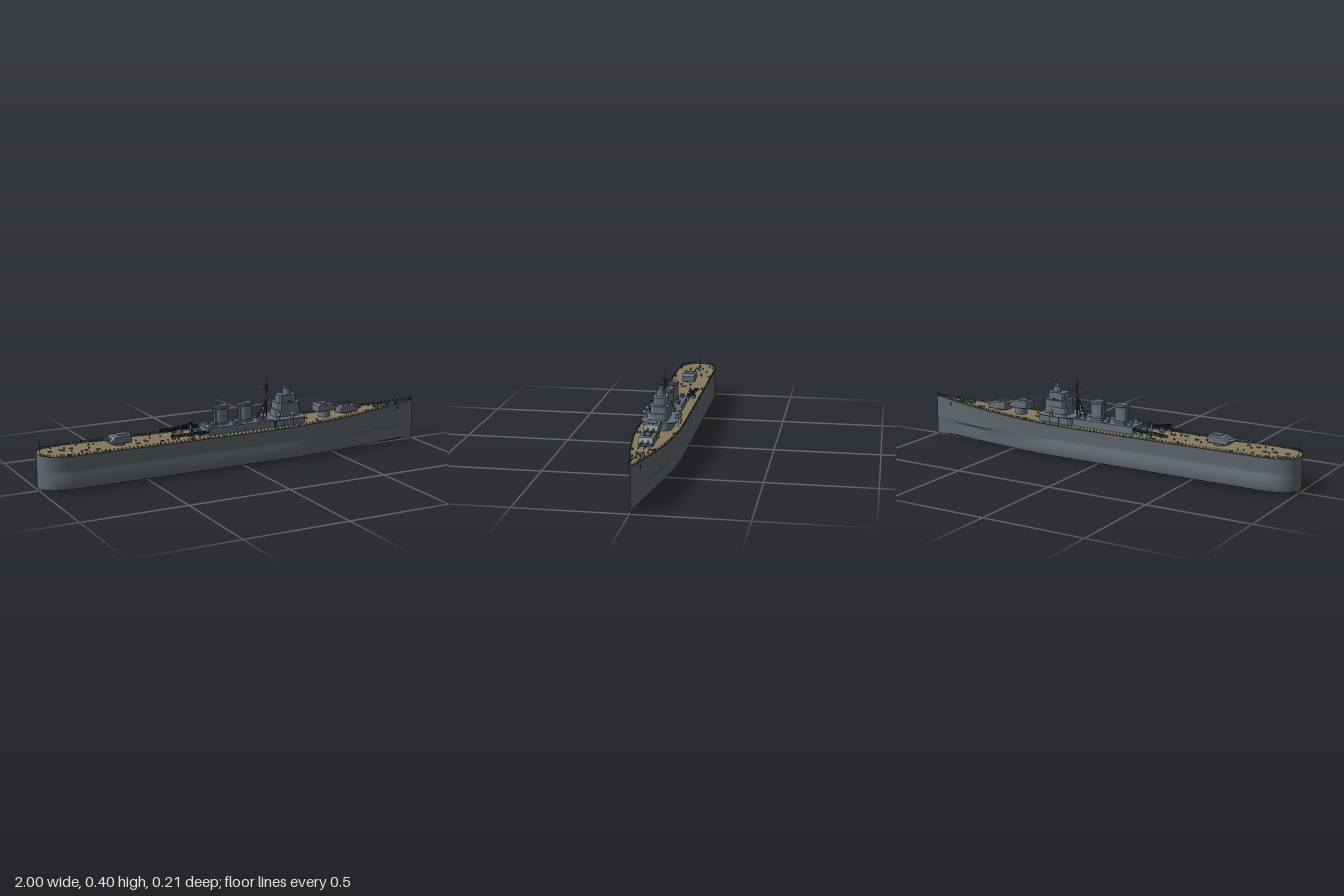
import * as THREE from 'three';
import { mergeGeometries, toCreasedNormals } from 'three/addons/utils/BufferGeometryUtils.js';

const mat = (name, color, extra = {}) => Object.assign(new THREE.MeshStandardMaterial({ color, ...extra }), { name });

export function createModel() {
  const M = {
    hull: mat('hull grey', 0x626a70),
    deck: mat('wood deck', 0x85785f),
    steel: mat('superstructure grey', 0x68727a),
    plate: mat('steel deck blue grey', 0x626c79),
    dark: mat('dark fittings', 0x2c3034),
  };
  const root = new THREE.Group();
  root.name = 'warship';
  const ship = new THREE.Group();
  ship.name = 'ship';
  ship.position.z = -0.004;
  root.add(ship);

  // ---------- helpers ----------
  const add = (name, geo, m, x = 0, y = 0, z = 0, parent = ship) => {
    const o = new THREE.Mesh(geo, m);
    o.name = name;
    o.position.set(x, y, z);
    parent.add(o);
    return o;
  };
  const box = (name, m, x0, x1, y0, y1, halfZ, z = 0, parent = ship) =>
    add(name, new THREE.BoxGeometry(x1 - x0, y1 - y0, halfZ * 2), m, (x0 + x1) / 2, (y0 + y1) / 2, z, parent);
  const cyl = (name, m, x, y0, y1, z, r0, r1 = r0, parent = ship, n = 20) =>
    add(name, new THREE.CylinderGeometry(r1, r0, y1 - y0, n), m, x, (y0 + y1) / 2, z, parent);
  const rodGeo = (a, b, r, n = 5) => {
    const A = new THREE.Vector3(...a), d = new THREE.Vector3(...b).sub(A);
    const g = new THREE.CylinderGeometry(r, r, d.length(), n);
    g.applyQuaternion(new THREE.Quaternion().setFromUnitVectors(new THREE.Vector3(0, 1, 0), d.clone().normalize()));
    return g.translate(A.x + d.x / 2, A.y + d.y / 2, A.z + d.z / 2);
  };
  const rods = (name, m, list, r, parent = ship) =>
    add(name, mergeGeometries(list.map(([a, b]) => rodGeo(a, b, r))), m, 0, 0, 0, parent);
  // House with rounded front and chamfered back, seen in plan
  const house = (name, m, x0, x1, y0, y1, w, parent = ship) => {
    const s = new THREE.Shape(), c = w * 0.3, f = Math.min(w * 0.7, (x1 - x0) * 0.5);
    s.moveTo(x0, -w + c); s.lineTo(x0 + c, -w); s.lineTo(x1 - f, -w);
    s.quadraticCurveTo(x1, -w, x1, -w * 0.35); s.lineTo(x1, w * 0.35);
    s.quadraticCurveTo(x1, w, x1 - f, w); s.lineTo(x0 + c, w); s.lineTo(x0, w - c);
    const g = new THREE.ExtrudeGeometry(s, { depth: y1 - y0, bevelEnabled: false, curveSegments: 8 });
    return add(name, g.rotateX(-Math.PI / 2), m, 0, y0, 0, parent);
  };
  const loft = (rows, up) => {
    const p = rows.flat(2), idx = [], n = rows[0].length;
    for (let i = 0; i < rows.length - 1; i++) for (let j = 0; j < n - 1; j++) {
      const a = i * n + j, b = a + 1, c = a + n, d = c + 1;
      idx.push(...(up ? [a, c, b, b, c, d] : [a, b, c, b, d, c]));
    }
    const g = new THREE.BufferGeometry();
    g.setAttribute('position', new THREE.Float32BufferAttribute(p, 3));
    g.setIndex(idx);
    return toCreasedNormals(g, 0.5);
  };

  // ---------- hull form rules ----------
  const bowT = x => Math.max(0, (x - 0.25) / 0.75);
  const halfW = x => {
    if (x < -0.84) return 0.1 * Math.pow(Math.max(0, 1 - Math.pow((-0.84 - x) / 0.16, 2.4)), 1 / 2.4);
    return 0.1 * (1 - Math.pow(bowT(x), 1.8));
  };
  const sheer = x => 0.163 + 0.037 * Math.pow(Math.max(0, (x - 0.1) / 0.9), 1.6) + 0.004 * Math.pow(Math.max(0, -x), 2);
  const stations = [];
  for (let i = 0; i <= 14; i++) stations.push(-1 + 0.16 * (1 - Math.cos(i / 14 * Math.PI / 2)));
  for (let i = 1; i <= 46; i++) stations.push(-0.84 + 1.84 * i / 46);

  const section = x => {
    const w = halfW(x), top = sheer(x), low = 1 - 0.4 * Math.pow(bowT(x), 1.3);
    const half = [[1, top], [0.98, top - 0.03], [0.95, 0.1], [0.95, 0.088], [low, 0.074],
      [low, 0.04], [low, 0.02], [low * 0.97, 0.013]].map(([k, y]) => [x, y, w * k]);
    return [...half, [x, 0, 0], ...half.map(([a, y, z]) => [a, y, -z]).reverse()];
  };
  add('hull', loft(stations.map(section), false), M.hull);
  const deckRow = (inset, lift) => x => {
    const w = Math.max(0, halfW(x) - inset);
    return [[x, sheer(x) + lift, w], [x, sheer(x) + lift, -w]];
  };
  add('deckEdge', loft(stations.map(deckRow(0, 0)), true), M.dark);
  add('woodDeck', loft(stations.map(deckRow(0.006, 0.0015)), true), M.deck);

  // Guard rails
  const rails = [];
  for (const s of [1, -1]) {
    const at = (x, h) => [x, sheer(x) + h, s * Math.max(0, halfW(x) - 0.002)];
    for (let i = 2; i < stations.length - 1; i++) {
      const a = stations[i], b = Math.min(stations[i + 1], 0.995);
      rails.push([at(a, 0), at(a, 0.011)], [at(a, 0.011), at(b, 0.011)], [at(a, 0.006), at(b, 0.006)]);
    }
  }
  rods('guardRails', M.dark, rails, 0.0006);
  rods('flagStaffs', M.dark, [[[-0.99, 0.165, 0], [-0.99, 0.225, 0]], [[0.99, 0.195, 0], [0.99, 0.228, 0]]], 0.0012);
  for (const s of [1, -1]) box('anchor', M.dark, 0.885, 0.9, 0.165, 0.18, 0.003, s * 0.022);

  // ---------- main gun turrets ----------
  const turret = (name, x, base, y, dir) => {
    const g = new THREE.Group();
    g.name = name;
    g.position.set(x, 0, 0);
    if (dir < 0) g.rotation.y = Math.PI;
    ship.add(g);
    cyl('barbette', M.steel, 0, base, y + 0.002, 0, 0.03, 0.03, g, 28);
    const s = new THREE.Shape([[-0.05, 0], [0.046, 0], [0.05, 0.012], [0.03, 0.03], [-0.044, 0.033], [-0.05, 0.026]]
      .map(p => new THREE.Vector2(...p)));
    add('gunHouse', new THREE.ExtrudeGeometry(s, { depth: 0.056, bevelThickness: 0.005, bevelSize: 0.003, bevelSegments: 1 }),
      M.steel, 0, y, -0.028, g);
    box('turretRoof', M.plate, -0.035, 0.012, y + 0.034, y + 0.038, 0.02, 0, g);
    for (const z of [0.013, -0.013]) {
      add('gunBarrel', rodGeo([0.04, y + 0.018, z], [0.155, y + 0.021, z], 0.0032, 10), M.steel, 0, 0, 0, g);
      add('gunSleeve', rodGeo([0.04, y + 0.018, z], [0.075, y + 0.019, z], 0.005, 10), M.steel, 0, 0, 0, g);
    }
  };
  turret('aftTurret', -0.61, 0.16, 0.177, -1);
  turret('upperForeTurret', 0.478, 0.16, 0.207, 1);
  turret('lowerForeTurret', 0.605, 0.165, 0.187, 1);

  // ---------- midship deckhouse ----------
  box('deckhouse', M.steel, -0.18, 0.2, 0.16, 0.197, 0.052);
  box('deckhouseRoof', M.plate, -0.185, 0.2, 0.197, 0.2, 0.056);
  house('foreDeckhouse', M.steel, 0.14, 0.35, 0.16, 0.202, 0.06);
  house('bridgeDeck', M.plate, 0.14, 0.345, 0.202, 0.205, 0.085);
  for (const s of [1, -1]) rods('bridgeDeckSupports', M.dark,
    [0.16, 0.21, 0.26].map(x => [[x, 0.163, s * 0.08], [x, 0.203, s * 0.08]]), 0.0015);

  // Funnels: oval tubes with raised caps
  for (const x of [-0.092, 0.04]) {
    const g = new THREE.Group();
    g.name = 'funnel';
    g.position.set(x, 0, 0);
    g.scale.z = 0.65;
    ship.add(g);
    const prof = [[0.04, 0.198], [0.04, 0.21], [0.035, 0.212], [0.035, 0.276], [0.039, 0.279], [0.039, 0.288],
      [0.034, 0.292], [0.032, 0.288], [0.032, 0.27]].map(p => new THREE.Vector2(...p));
    add('funnelCasing', toCreasedNormals(new THREE.LatheGeometry(prof, 32), 0.5), M.steel, 0, 0, 0, g);
    cyl('funnelMouth', M.dark, 0, 0.27, 0.276, 0, 0.0325, 0.0325, g, 32);
    for (const s of [1, -1]) cyl('steamPipe', M.steel, -0.033, 0.2, 0.285, s * 0.02, 0.004, 0.004, g, 8);
  }

  // Lockers and vents round the funnels
  for (const s of [1, -1]) for (const x of [-0.155, -0.03, 0.1]) {
    box('ventHouse', M.steel, x - 0.012, x + 0.012, 0.2, 0.214, 0.01, s * 0.032);
    cyl('ventilator', M.steel, x + 0.024, 0.2, 0.218, s * 0.038, 0.004, 0.006, ship, 10);
  }

  // ---------- bridge tower ----------
  house('towerBase', M.steel, 0.19, 0.325, 0.204, 0.24, 0.038);
  house('lowerBridge', M.steel, 0.2, 0.318, 0.238, 0.27, 0.044);
  house('lowerBridgeRoof', M.plate, 0.198, 0.32, 0.27, 0.273, 0.046);
  house('upperBridge', M.steel, 0.212, 0.304, 0.272, 0.306, 0.03);
  house('upperBridgeRoof', M.plate, 0.21, 0.306, 0.306, 0.309, 0.032);
  cyl('directorTower', M.steel, 0.265, 0.308, 0.336, 0, 0.021, 0.02, ship, 24);
  box('directorHead', M.steel, 0.25, 0.285, 0.336, 0.349, 0.01);
  add('rangefinder', rodGeo([0.268, 0.343, -0.021], [0.268, 0.343, 0.021], 0.0035, 10), M.steel);
  for (const s of [1, -1]) {
    box('bridgeWing', M.steel, 0.24, 0.27, 0.272, 0.277, 0.009, s * 0.043);
    cyl('signalLamp', M.dark, 0.255, 0.277, 0.284, s * 0.046, 0.004, 0.004, ship, 10);
    cyl('windowBand', M.dark, 0.29, 0.29, 0.296, s * 0.012, 0.006, 0.006, ship, 8);
    // Light gun directors on the deck wings
    for (const x of [0.18, 0.255]) {
      cyl('directorPedestal', M.steel, x, 0.205, 0.222, s * 0.073, 0.009, 0.007, ship, 12);
      add('directorDrum', new THREE.SphereGeometry(0.0095, 14, 10), M.steel, x, 0.228, s * 0.077);
    }
  }

  // Tripod mast with yard and aerial frame
  const mx = 0.155;
  rods('tripodMast', M.dark, [[[mx, 0.2, 0], [mx, 0.365, 0]], [[0.12, 0.2, 0.022], [mx, 0.3, 0]],
    [[0.12, 0.2, -0.022], [mx, 0.3, 0]]], 0.003);
  rods('mastYards', M.dark, [[[mx, 0.36, 0], [mx, 0.4, 0]], [[mx, 0.335, -0.045], [mx, 0.335, 0.045]],
    [[mx - 0.012, 0.3, 0], [mx + 0.012, 0.3, 0]]], 0.0012);
  const frame = [];
  for (const y of [0.347, 0.355, 0.363]) frame.push([[mx, y, -0.018], [mx, y, 0.018]]);
  for (let i = -2; i <= 2; i++) frame.push([[mx, 0.347, i * 0.009], [mx, 0.363, i * 0.009]]);
  rods('aerialFrame', M.dark, frame, 0.0007);
  cyl('lookoutPlatform', M.steel, mx, 0.298, 0.306, 0, 0.008, 0.01, ship, 14);

  // ---------- catapults and crane: lattice girders ----------
  const girder = (name, a, b, w, h, n = 8) => {
    const A = new THREE.Vector3(...a), B = new THREE.Vector3(...b), list = [];
    const side = new THREE.Vector3(-(B.z - A.z), 0, B.x - A.x).normalize().multiplyScalar(w);
    const pt = (t, s, k) => A.clone().lerp(B, t).addScaledVector(side, s).add(new THREE.Vector3(0, k * h, 0)).toArray();
    for (const s of [1, -1]) {
      for (const k of [0, 1]) list.push([pt(0, s, k), pt(1, s, k)]);
      for (let i = 0; i < n; i++) list.push([pt(i / n, s, i % 2), pt((i + 1) / n, s, (i + 1) % 2)]);
    }
    for (let i = 0; i <= n; i++) list.push([pt(i / n, 1, 1), pt(i / n, -1, 1)]);
    rods(name, M.dark, list, 0.0015);
  };
  girder('portCatapult', [-0.375, 0.18, -0.072], [-0.19, 0.186, -0.054], 0.007, 0.009);
  girder('starboardCatapult', [-0.375, 0.18, 0.055], [-0.19, 0.186, 0.078], 0.007, 0.009);
  girder('crane', [-0.295, 0.187, 0.107], [-0.25, 0.194, 0.025], 0.005, 0.007);
  girder('boatDerrick', [-0.345, 0.18, -0.045], [-0.2, 0.194, -0.085], 0.004, 0.006);
  for (const s of [1, -1]) {
    cyl('catapultTurntable', M.steel, -0.275, 0.16, 0.181, s * 0.065, 0.016, 0.014);
    cyl('cranePost', M.steel, -0.225, 0.16, 0.2, s * 0.05, 0.006, 0.005, ship, 12);
    box('equipmentLocker', M.steel, -0.215, -0.19, 0.16, 0.185, 0.012, s * 0.025);
  }

  // ---------- small deck fittings ----------
  let seed = 11;
  const rnd = () => (seed = (seed * 16807) % 2147483647) / 2147483647;
  const spans = [[-0.94, -0.7, 14], [-0.54, -0.2, 18], [0.36, 0.42, 3], [0.68, 0.92, 9]];
  for (const [a, b, n] of spans) for (let i = 0; i < n; i++) {
    const x = a + (b - a) * (i + rnd()) / n, y = sheer(x), z = (rnd() * 2 - 1) * halfW(x) * 0.75;
    if (i % 3) cyl('mushroomVent', M.steel, x, y, y + 0.008, z, 0.003, 0.0045, ship, 8);
    else box('hatch', M.steel, x - 0.008, x + 0.008, y, y + 0.006, 0.005, z);
  }
  for (const s of [1, -1]) for (const x of [-0.88, -0.7, -0.45, 0.4, 0.7, 0.82]) for (const d of [-0.007, 0.007])
    cyl('bollard', M.dark, x + d, sheer(x), sheer(x) + 0.008, s * (halfW(x) - 0.013), 0.0028, 0.0028, ship, 8);
  rods('anchorChains', M.dark, [1, -1].map(s => [[0.78, sheer(0.78) + 0.002, s * 0.012], [0.9, sheer(0.9) + 0.002, s * 0.014]]), 0.0015);
  for (const s of [1, -1]) cyl('capstan', M.steel, 0.775, 0.18, 0.199, s * 0.014, 0.006, 0.005, ship, 12);

  return root;
}
